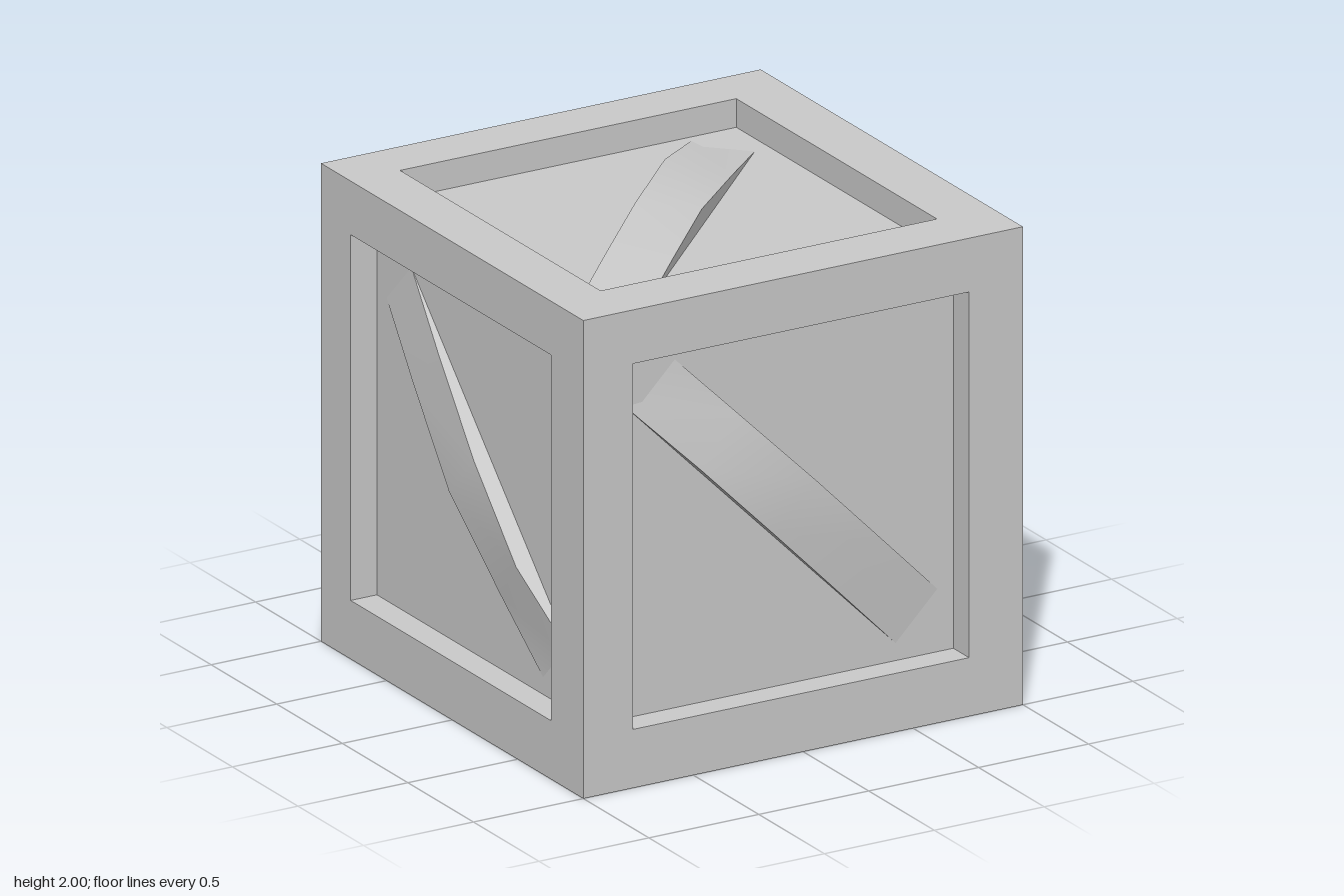
import * as THREE from 'three';
import { toCreasedNormals } from 'three/addons/utils/BufferGeometryUtils.js';

const HALF = 0.765;   // half width of each opening
const FLOOR = 0.88;   // panel distance from the crate centre
const DENT = 0.945;   // height of the one bent corner
const BAND = 0.19;    // half width of the plank, measured as u + v
const SHIFT = new THREE.Vector3(-0.01, 0.01, -0.01);

const material = new THREE.MeshStandardMaterial({ color: 0xcccccc });

function makeMesh(name, geometry, crease = 0.6) {
  const mesh = new THREE.Mesh(toCreasedNormals(geometry, crease), material);
  mesh.name = name;
  return mesh;
}

// Quads between successive rows of points, rows running outside to inside
function loft(rows, closed) {
  const n = rows[0].length, index = [];
  for (let r = 0; r < rows.length - 1; r++) {
    for (let k = 0; k < (closed ? n : n - 1); k++) {
      const a = r * n + k, b = r * n + (k + 1) % n;
      index.push(a, b, b + n, a, b + n, a + n);
    }
  }
  const geometry = new THREE.BufferGeometry();
  geometry.setAttribute('position', new THREE.Float32BufferAttribute(rows.flat(2), 3));
  geometry.setIndex(index);
  return geometry;
}

// Square border with an opening and its inner walls
function frameGeometry(du, dv, dented) {
  const outer = [], rim = [], floor = [];
  for (let k = 0; k < 16; k++) {
    const t = -1 + (k % 4) / 2;
    const [u, v] = [[t, -1], [1, t], [-t, 1], [-1, -t]][Math.floor(k / 4)];
    const bent = dented && k === 4;
    outer.push([u, v, 1]);
    rim.push([u * HALF + du, v * HALF + dv, bent ? DENT : 1]);
    floor.push([u * HALF + du, v * HALF + dv, bent ? DENT : FLOOR]);
  }
  return loft([outer, rim, floor], true);
}

// Recessed panel
function panelGeometry(du, dv, dented) {
  const geometry = new THREE.PlaneGeometry(2 * HALF, 2 * HALF, 4, 4).translate(du, dv, FLOOR);
  if (dented) geometry.attributes.position.setZ(24, DENT);
  return geometry;
}

// Bowed diagonal plank from upper left to lower right
function plankGeometry(du, dv) {
  const lowHeights = [-0.01, 0.036, 0.073, 0.036, -0.01];
  const highHeights = [-0.01, 0.036, 0.073, 0.08, -0.01];
  const edge = (side, heights) => heights.map((h, i) => {
    const s = (-1 + i / 2) * (HALF - BAND / 2);
    return [s + side * BAND / 2 + du, -s + side * BAND / 2 + dv, FLOOR + h];
  });
  const sunk = row => row.map(([u, v]) => [u, v, FLOOR - 0.01]);
  const low = edge(-1, lowHeights), high = edge(1, highHeights);
  return loft([sunk(low), low, high, sunk(high)], false);
}

export function createModel() {
  const crate = new THREE.Group();
  crate.name = 'crate';
  const V = (x, y, z) => new THREE.Vector3(x, y, z);

  // Each side: its right and up directions
  const sides = [
    ['front', V(-1, 0, 0), V(0, -1, 0)],
    ['back', V(-1, 0, 0), V(0, 1, 0)],
    ['right', V(0, 0, -1), V(0, 1, 0)],
    ['left', V(0, 0, 1), V(0, 1, 0)],
    ['top', V(0, 0, -1), V(-1, 0, 0)],
    ['bottom', V(0, 0, 1), V(-1, 0, 0)],
  ];
  for (const [name, u, v] of sides) {
    const n = u.clone().cross(v);
    const du = SHIFT.dot(u), dv = SHIFT.dot(v);
    const dented = name === 'right';
    const side = new THREE.Group();
    side.name = name + 'Side';
    side.add(
      makeMesh('frame', frameGeometry(du, dv, dented)),
      makeMesh('panel', panelGeometry(du, dv, dented)),
      makeMesh('diagonalPlank', plankGeometry(du, dv)),
    );
    side.quaternion.setFromRotationMatrix(new THREE.Matrix4().makeBasis(u, v, n));
    side.position.y = 1;
    crate.add(side);
  }
  return crate;
}
